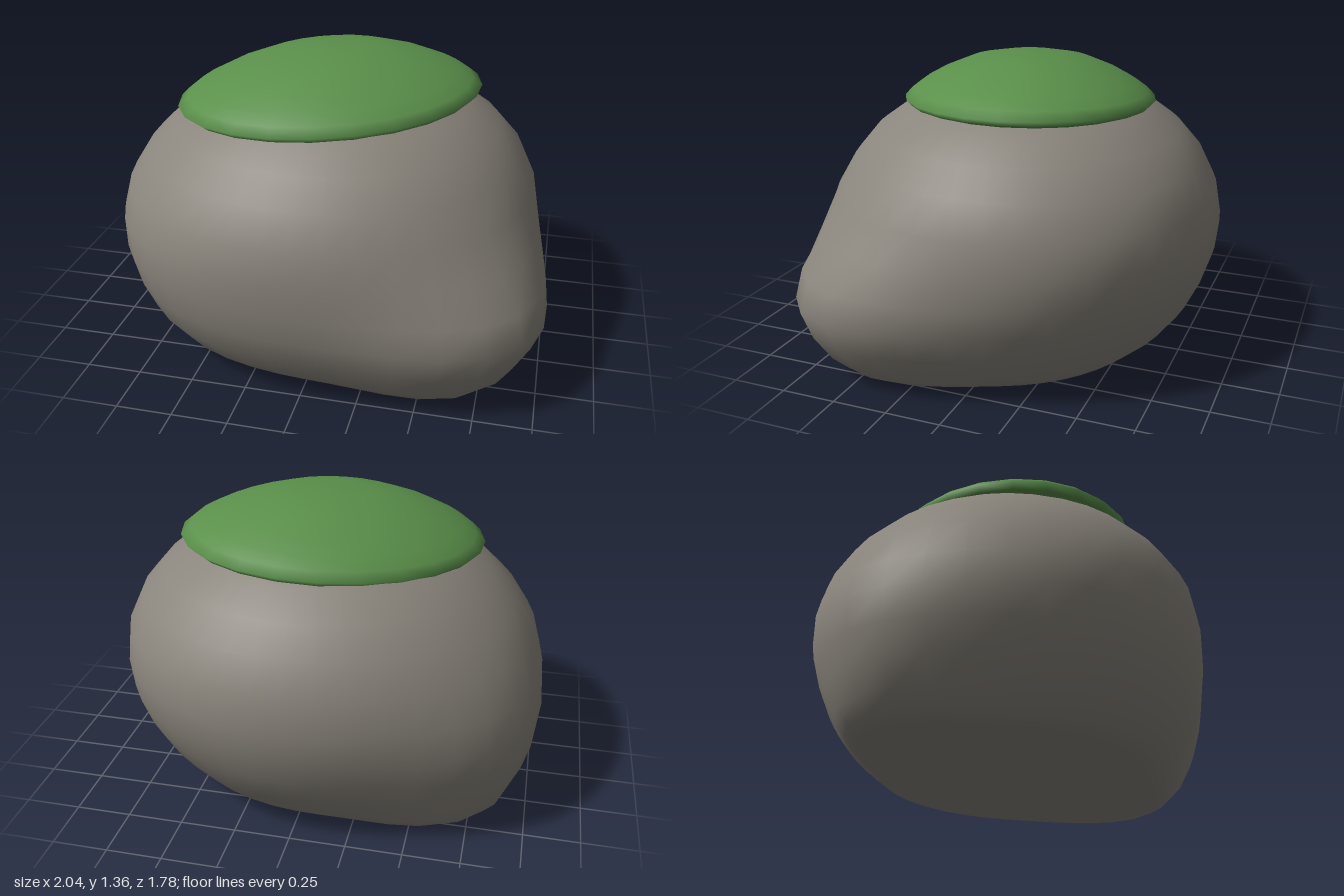
import * as THREE from 'three';

// Rock rings from the base up: height, then reach towards +x, +z, -x, -z
const RINGS = [
  [0, 0, 0, 0, 0],
  [0, 0.45, 0.42, 0.48, 0.4],
  [0, 0.63, 0.6, 0.69, 0.56],
  [0.04, 0.68, 0.67, 0.74, 0.61],
  [0.1, 0.74, 0.74, 0.8, 0.68],
  [0.22, 0.83, 0.82, 0.88, 0.77],
  [0.35, 0.88, 0.86, 0.93, 0.83],
  [0.48, 0.905, 0.88, 0.965, 0.87],
  [0.62, 0.91, 0.885, 0.975, 0.885],
  [0.77, 0.895, 0.865, 0.945, 0.86],
  [0.91, 0.835, 0.79, 0.865, 0.795],
  [1.03, 0.735, 0.69, 0.75, 0.695],
  [1.13, 0.6, 0.55, 0.61, 0.56],
  [1.21, 0.42, 0.41, 0.42, 0.41],
  [1.26, 0.22, 0.22, 0.22, 0.22],
  [1.275, 0, 0, 0, 0],
];

// Bulges and dents: angle, height, amount, angular spread, height spread
const BULGES = [
  [36, 0.33, 0.28, 20, 0.21],
  [38, 0, 0.19, 20, 0.12],
  [207, 0.3, 0.14, 18, 0.26],
  [210, 0, 0.13, 20, 0.12],
  [140, 0.45, 0.06, 25, 0.35],
  [318, 0.08, -0.03, 25, 0.2],
  [318, 0.7, 0.03, 25, 0.25],
];

function rockRadius(deg, ring) {
  const [y, px, pz, nx, nz] = ring;
  const a = THREE.MathUtils.degToRad(deg);
  const c = Math.cos(a), s = Math.sin(a);
  let r = c * c * (c > 0 ? px : nx) + s * s * (s > 0 ? pz : nz);
  const fade = Math.min(1, r / 0.6);
  for (const [angle, height, amount, spread, tall] of BULGES) {
    const da = ((deg - angle + 540) % 360) - 180;
    r += fade * amount * Math.exp(-0.5 * ((da / spread) ** 2 + ((y - height) / tall) ** 2));
  }
  return r;
}

function rockGeometry(segments = 40) {
  const positions = [], index = [];
  RINGS.forEach((ring, i) => {
    for (let j = 0; j < segments; j++) {
      const deg = (j / segments) * 360;
      const a = THREE.MathUtils.degToRad(deg);
      const r = rockRadius(deg, ring);
      positions.push(r * Math.cos(a), ring[0], r * Math.sin(a));
      if (i === RINGS.length - 1) continue;
      const k = i * segments + j;
      const next = i * segments + ((j + 1) % segments);
      if (i > 0) index.push(k, k + segments, next);
      if (i < RINGS.length - 2) index.push(next, k + segments, next + segments);
    }
  });
  const geometry = new THREE.BufferGeometry();
  geometry.setAttribute('position', new THREE.Float32BufferAttribute(positions, 3));
  geometry.setIndex(index);
  geometry.computeVertexNormals();
  return geometry;
}

export function createModel() {
  const stone = new THREE.MeshStandardMaterial({ color: 0x8a857c });
  stone.name = 'stone grey';
  const moss = new THREE.MeshStandardMaterial({ color: 0x5a8f4a });
  moss.name = 'moss green';

  const model = new THREE.Group();
  model.name = 'mossyRock';

  const rock = new THREE.Mesh(rockGeometry(), stone);
  rock.name = 'rock';
  model.add(rock);

  // Tilted lens of moss resting on the crown
  const profile = [
    [0, -0.03], [0.6, -0.034], [0.89, -0.036], [0.96, -0.022], [1, 0.002], [0.94, 0.038],
    [0.85, 0.075], [0.7, 0.122], [0.47, 0.175], [0.24, 0.198], [0, 0.203],
  ].map(([r, y]) => new THREE.Vector2(r, y));
  const cap = new THREE.Mesh(new THREE.LatheGeometry(profile, 24), moss);
  cap.name = 'mossCap';
  cap.scale.set(0.69, 1, 0.575);
  cap.rotation.y = 0.4;
  const capTilt = new THREE.Group();
  capTilt.name = 'mossCapTilt';
  capTilt.add(cap);
  capTilt.position.set(-0.035, 1.152, 0.01);
  capTilt.rotation.set(0.014, 0, 0.05);
  model.add(capTilt);

  return model;
}
